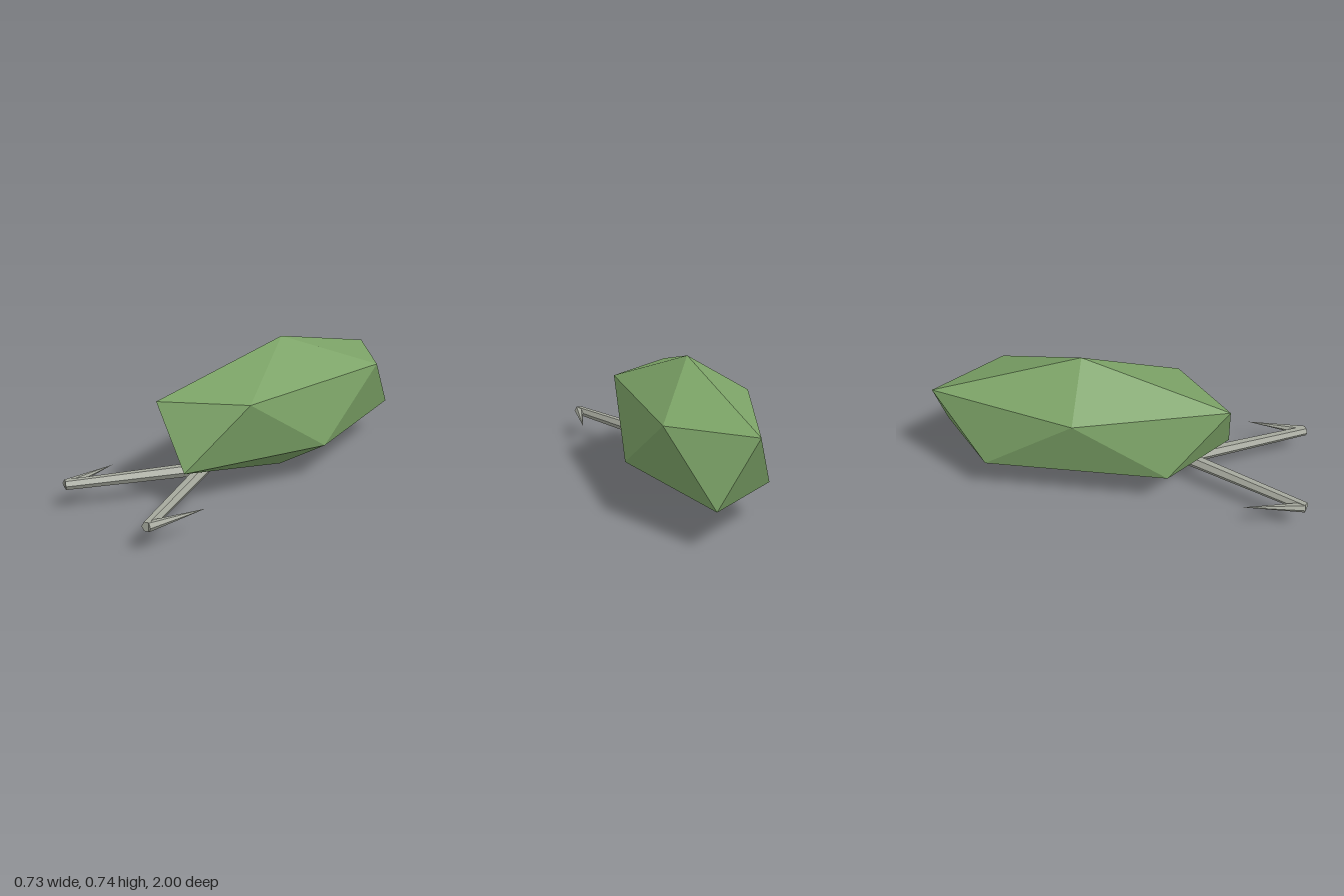
import * as THREE from 'three';

// Six-sided tapered rod between two points at the same height, flat on top and bottom
function rod(x0, z0, r0, x1, z1, r1, y, material, name) {
  const dx = x1 - x0, dz = z1 - z0;
  const geo = new THREE.CylinderGeometry(r1, r0, Math.hypot(dx, dz), 6, 1, false, Math.PI / 6);
  geo.rotateX(Math.PI / 2);
  geo.rotateY(Math.atan2(dx, dz));
  geo.translate((x0 + x1) / 2, y, (z0 + z1) / 2);
  const mesh = new THREE.Mesh(geo, material);
  mesh.name = name;
  return mesh;
}

// Stretched twenty-sided body: two poles and two staggered rings of five
function bodyGeometry() {
  const cz = -0.215, rx = 0.33, rz = 0.825;
  const ring = (k, offset, y) => {
    const a = THREE.MathUtils.degToRad(72 * k + offset);
    return [rx * Math.cos(a), y, cz + rz * Math.sin(a)];
  };
  const top = [0, 0.74, cz], bottom = [0, 0, cz];
  const pos = [];
  for (let k = 0; k < 5; k++) {
    const u0 = ring(k, 36, 0.536), u1 = ring(k + 1, 36, 0.536);
    const l0 = ring(k, 72, 0.205), l1 = ring(k + 1, 72, 0.205);
    pos.push(...top, ...u1, ...u0);
    pos.push(...u0, ...u1, ...l0);
    pos.push(...u1, ...l1, ...l0);
    pos.push(...bottom, ...l0, ...l1);
  }
  const geo = new THREE.BufferGeometry();
  geo.setAttribute('position', new THREE.Float32BufferAttribute(pos, 3));
  geo.computeVertexNormals();
  return geo;
}

export function createModel() {
  const group = new THREE.Group();
  group.name = 'model';
  const green = new THREE.MeshStandardMaterial({ color: 0x7ba266, flatShading: true });
  const grey = new THREE.MeshStandardMaterial({ color: 0xa5a89d, flatShading: true });

  const body = new THREE.Mesh(bodyGeometry(), green);
  body.name = 'body';
  group.add(body);

  // Two spread arms, each with a barb pointing back
  for (const [side, s] of [['left', 1], ['right', -1]]) {
    const hook = new THREE.Group();
    hook.name = side + 'Hook';
    hook.add(rod(0, 0.345, 0.036, s * 0.325, 0.988, 0.0266, 0.14, grey, side + 'Arm'));
    hook.add(rod(s * 0.325, 0.983, 0.0266, s * 0.367, 0.665, 0, 0.14, grey, side + 'Barb'));
    group.add(hook);
  }
  return group;
}
